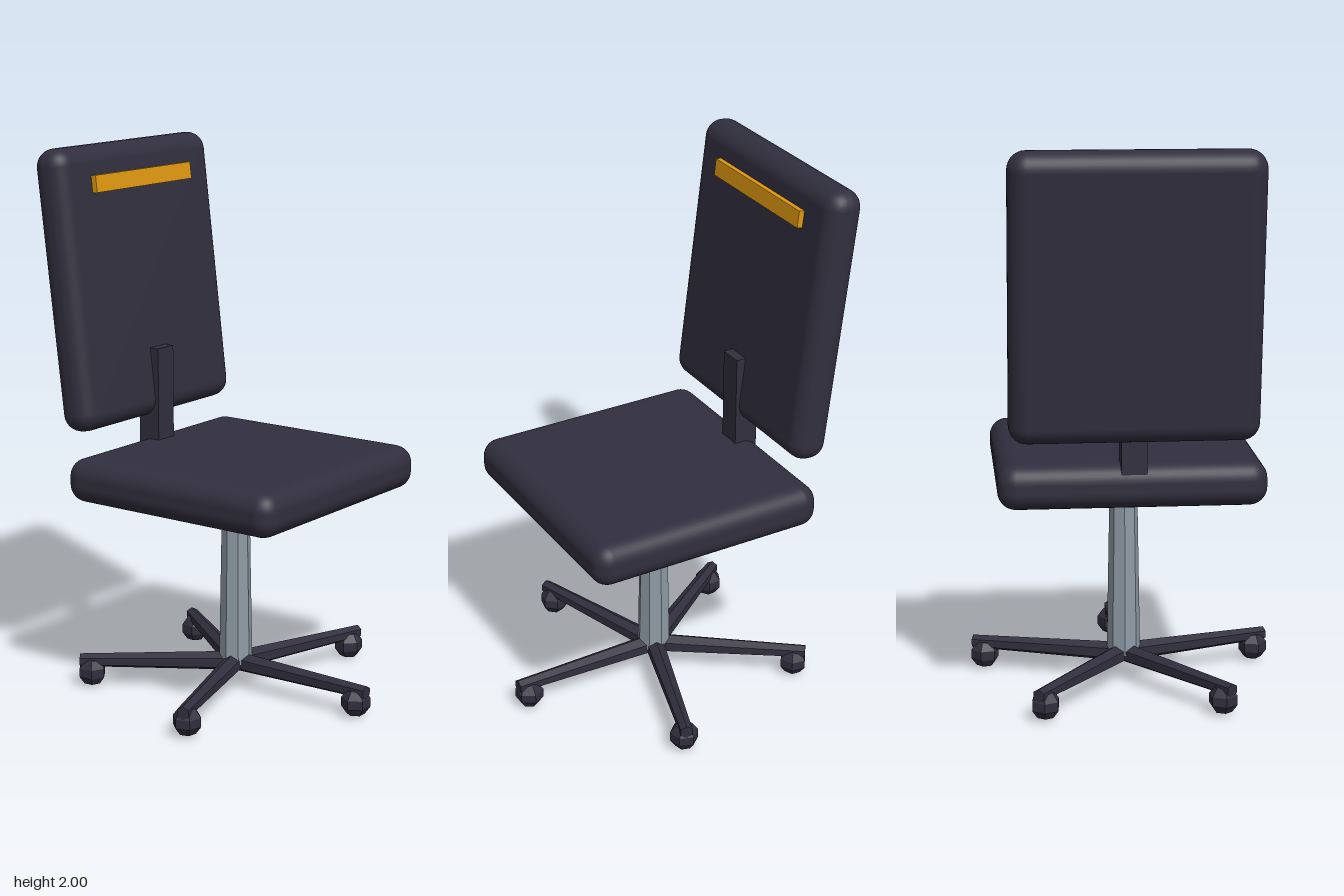
import * as THREE from 'three';
import { RoundedBoxGeometry } from 'three/addons/geometries/RoundedBoxGeometry.js';

function material(name, color, flatShading = false) {
  const m = new THREE.MeshStandardMaterial({ color, flatShading });
  m.name = name;
  return m;
}

function part(parent, name, geometry, mat, x = 0, y = 0, z = 0) {
  const mesh = new THREE.Mesh(geometry, mat);
  mesh.name = name;
  mesh.position.set(x, y, z);
  parent.add(mesh);
  return mesh;
}

export function createModel() {
  const chair = new THREE.Group();
  chair.name = 'officeChair';

  const dark = material('dark upholstery', 0x312f3e);
  const frame = material('dark frame', 0x312f3e, true);
  const steel = material('grey steel', 0x8f9ba6, true);
  const orange = material('orange trim', 0xe0980f);

  // Five-star base: tapered six-sided legs, each with a faceted caster
  const legGeometry = new THREE.CylinderGeometry(0.025, 0.037, 0.58, 6).rotateX(Math.PI / 2);
  const casterGeometry = new THREE.SphereGeometry(0.055, 6, 5);
  for (let i = 0; i < 5; i++) {
    const spoke = new THREE.Group();
    spoke.name = 'baseSpoke';
    spoke.rotation.y = (i * Math.PI * 2) / 5;
    part(spoke, 'leg', legGeometry, frame, 0, 0.1, 0.29);
    part(spoke, 'caster', casterGeometry, frame, 0, 0.057, 0.535);
    chair.add(spoke);
  }

  // Tapered column
  part(chair, 'column', new THREE.CylinderGeometry(0.05, 0.062, 0.68, 8), steel, 0, 0.44, 0);

  // Seat cushion
  part(chair, 'seat', new RoundedBoxGeometry(0.945, 0.16, 0.905, 4, 0.065), dark, 0, 0.825, 0.032);

  // Upright joining seat and backrest
  part(chair, 'backSupport', new THREE.BoxGeometry(0.09, 0.4, 0.09), frame, 0, 1.05, -0.367);

  // Reclined backrest with its trim strip
  const back = new THREE.Group();
  back.name = 'backrest';
  back.position.set(0, 1.495, -0.46);
  back.rotation.x = -0.12;
  part(back, 'backCushion', new RoundedBoxGeometry(0.87, 1.015, 0.142, 4, 0.065), dark);
  part(back, 'trimStrip', new THREE.BoxGeometry(0.546, 0.062, 0.03), orange, 0, 0.368, 0.077);
  chair.add(back);

  return chair;
}
